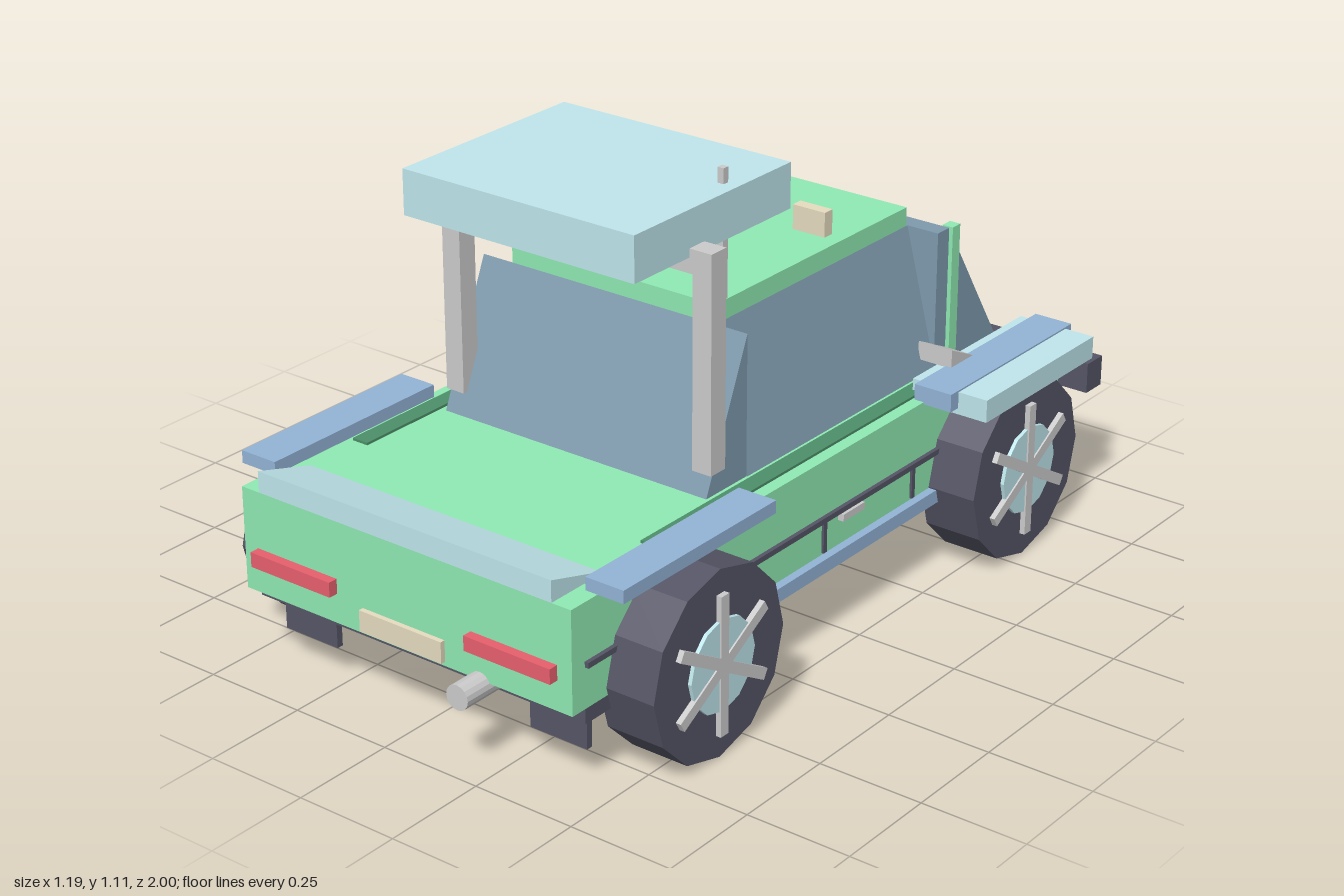
import * as THREE from 'three';

const paint = (color) => new THREE.MeshStandardMaterial({ color, flatShading: true });
const GREEN = paint(0x90eab4), DARK_GREEN = paint(0x4d8f6a), GLASS = paint(0x7f9bae);
const CYAN = paint(0xbfe6ec), BLUE = paint(0x93b4d6), DARK = paint(0x555566);
const METAL = paint(0xcccccc), CREAM = paint(0xe6dcc0), RED = paint(0xe8606e), YELLOW = paint(0xe0c050);

export function createModel() {
  const car = new THREE.Group();
  car.name = 'car';

  const add = (name, geometry, material, parent = car) => {
    const mesh = new THREE.Mesh(geometry, material);
    mesh.name = name;
    parent.add(mesh);
    return mesh;
  };
  // box given by its limits on each axis
  const box = (name, [x0, x1], [y0, y1], [z0, z1], material, parent) => {
    const g = new THREE.BoxGeometry(x1 - x0, y1 - y0, z1 - z0);
    g.translate((x0 + x1) / 2, (y0 + y1) / 2, (z0 + z1) / 2);
    return add(name, g, material, parent);
  };
  // the same box on both sides
  const pair = (name, [x0, x1], y, z, material) => {
    box(name, [x0, x1], y, z, material);
    box(name, [-x1, -x0], y, z, material);
  };
  const extrude = (points, depth) => new THREE.ExtrudeGeometry(
    new THREE.Shape(points.map(([a, b]) => new THREE.Vector2(a, b))), { depth, bevelEnabled: false });
  // side profile of [z, y] points, extruded across x
  const prism = (name, points, [x0, x1], material) => {
    const g = extrude(points, x1 - x0);
    g.rotateY(-Math.PI / 2);
    g.translate(x1, 0, 0);
    return add(name, g, material);
  };

  // body and chassis
  prism('body', [[0.93, 0.2], [0.93, 0.44], [-0.67, 0.44], [-0.885, 0.3], [-0.885, 0.2]], [-0.45, 0.45], GREEN);
  box('chassis', [-0.45, 0.45], [0.165, 0.2], [-0.84, 0.89], DARK);
  prism('rearSpoiler', [[0.93, 0.44], [0.93, 0.49], [0.775, 0.445], [0.775, 0.44]], [-0.4, 0.4], CYAN);
  pair('sideTrim', [0.45, 0.46], [0.295, 0.308], [-0.84, 0.89], DARK);
  pair('sill', [0.44, 0.47], [0.182, 0.215], [-0.38, 0.42], BLUE);
  pair('shoulderStrip', [0.378, 0.42], [0.437, 0.446], [-0.67, 0.62], DARK_GREEN);
  for (const z of [0.075, -0.265]) pair('doorGap', [0.449, 0.456], [0.22, 0.295], [z - 0.006, z + 0.006], DARK);
  pair('doorHandle', [0.45, 0.465], [0.276, 0.293], [-0.06, 0.02], METAL);

  // cabin with inward leaning sides and full-width end windows
  const cabin = extrude([[-0.365, 0.44], [0.365, 0.44], [0.28, 0.77], [-0.28, 0.77]], 0.75);
  cabin.translate(0, 0, -0.51);
  add('sideWindows', cabin, GLASS);
  prism('windshield', [[-0.475, 0.44], [-0.475, 0.77], [-0.52, 0.77], [-0.73, 0.44]], [-0.363, 0.363], GLASS);
  prism('rearWindow', [[0.24, 0.44], [0.24, 0.77], [0.38, 0.44]], [-0.363, 0.363], GLASS);
  box('roof', [-0.28, 0.28], [0.77, 0.815], [-0.47, 0.24], GREEN);
  pair('windowPillar', [0.345, 0.373], [0.44, 0.773], [-0.55, -0.52], GREEN);

  // raised canopy on its frame
  pair('canopyPost', [0.318, 0.367], [0.49, 0.94], [0.32, 0.37], METAL);
  box('canopyBar', [-0.367, 0.367], [0.935, 0.99], [0.32, 0.37], METAL);
  box('canopy', [-0.31, 0.31], [0.97, 1.075], [0.02, 0.55], CYAN);
  box('antenna', [0.262, 0.278], [0.78, 1.11], [0.197, 0.213], METAL);
  pair('spotLamp', [0.258, 0.342], [0.885, 0.942], [-0.09, -0.062], CREAM);

  // mirrors
  const mirrorProfile = [[-0.43, 0.475], [-0.43, 0.52], [-0.525, 0.475]];
  for (const s of [-1, 1]) prism('mirror', mirrorProfile, s > 0 ? [0.35, 0.44] : [-0.44, -0.35], METAL);

  // fenders
  pair('rearFender', [0.425, 0.522], [0.445, 0.475], [0.35, 0.855], BLUE);
  pair('frontFender', [0.425, 0.522], [0.435, 0.478], [-0.81, -0.305], BLUE);
  pair('wideFender', [0.4, 0.597], [0.42, 0.474], [-0.785, -0.335], CYAN);

  // twelve-sided wheels with six-armed spokes
  const turned = (r, w, n) => new THREE.CylinderGeometry(r, r, w, n).rotateZ(Math.PI / 2);
  for (const side of [-1, 1]) {
    for (const z of [0.605, -0.555]) {
      const wheel = new THREE.Group();
      wheel.name = z > 0 ? 'rearWheel' : 'frontWheel';
      wheel.position.set(side * 0.5, 0.218, z);
      add('tire', turned(0.218, 0.142, 12), DARK, wheel);
      add('hub', turned(0.107, 0.02, 12), CYAN, wheel).position.x = side * 0.07;
      for (let i = 0; i < 3; i++) {
        const spoke = add('spoke', new THREE.BoxGeometry(0.016, 0.325, 0.026), METAL, wheel);
        spoke.position.x = side * 0.076;
        spoke.rotation.x = i * Math.PI / 3;
      }
      car.add(wheel);
    }
  }

  // nose end
  box('bumper', [-0.5, 0.5], [0.25, 0.325], [-1, -0.935], DARK);
  prism('splitter', [[-0.89, 0.17], [-0.975, 0.21], [-0.97, 0.17]], [-0.43, 0.43], METAL);
  pair('headlight', [0.2, 0.4], [0.27, 0.31], [-0.91, -0.88], CREAM);
  box('grille', [-0.14, 0.14], [0.22, 0.285], [-0.912, -0.88], DARK);
  box('centerLamp', [-0.04, 0.04], [0.285, 0.325], [-0.912, -0.885], YELLOW);

  // tail end
  pair('tailLight', [0.185, 0.412], [0.27, 0.305], [0.93, 0.953], RED);
  box('plate', [-0.113, 0.113], [0.21, 0.26], [0.93, 0.942], CREAM);
  pair('mudFlap', [0.27, 0.42], [0.077, 0.17], [0.834, 0.85], DARK);
  const pipe = new THREE.CylinderGeometry(0.029, 0.029, 0.12, 16).rotateX(Math.PI / 2);
  add('exhaust', pipe, METAL).position.set(0.206, 0.19, 0.94);

  return car;
}
